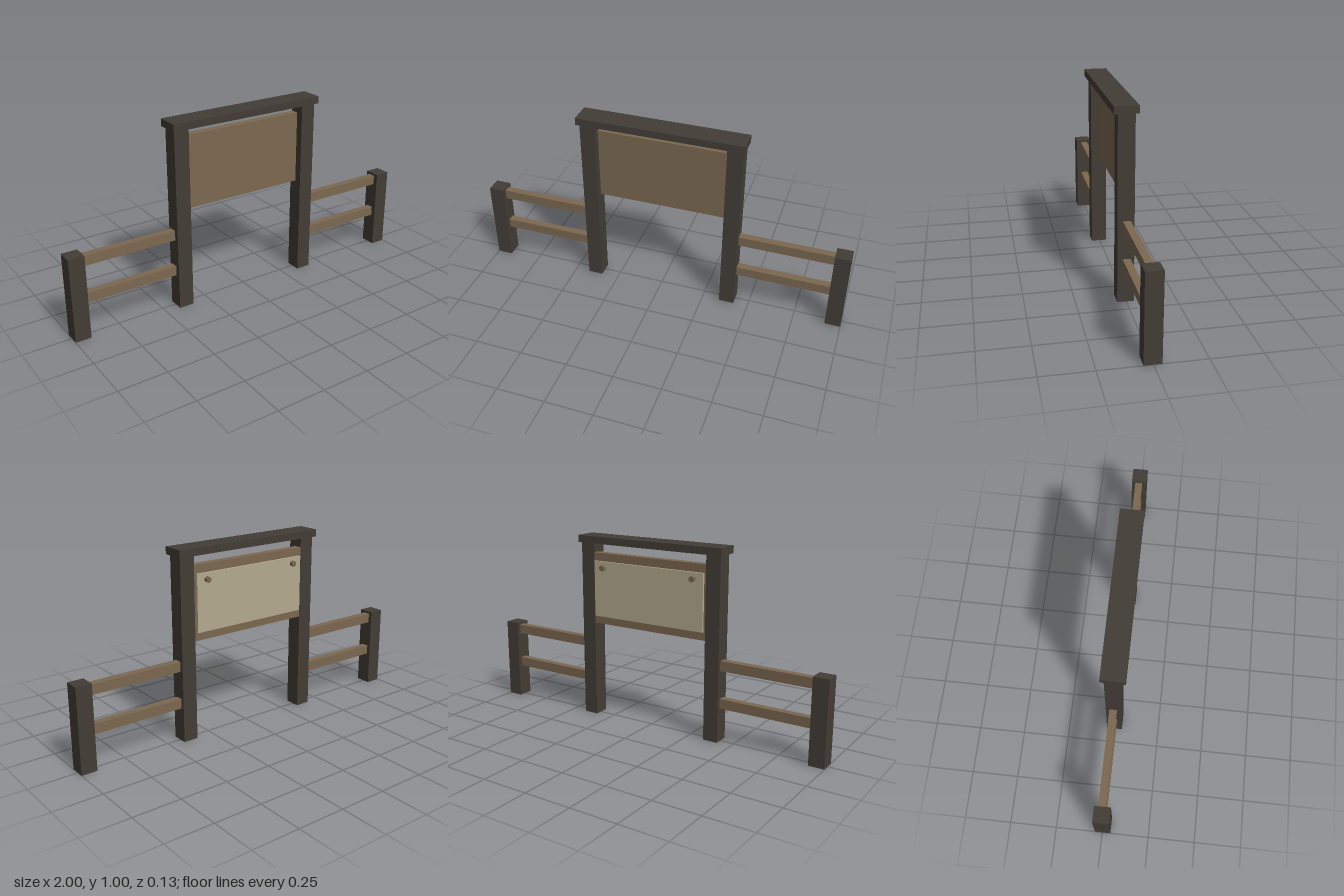
import * as THREE from 'three';

export function createModel() {
  const group = new THREE.Group();
  const material = (name, color) => {
    const m = new THREE.MeshStandardMaterial({ color });
    m.name = name;
    return m;
  };
  const darkWood = material('darkWood', 0x433d36);
  const brownWood = material('brownWood', 0x7b6850);
  const paper = material('paper', 0xb3aa8e);

  // Box given by its lower and upper limits on each axis
  const box = (name, mat, [x0, x1], [y0, y1], [z0, z1]) => {
    const mesh = new THREE.Mesh(new THREE.BoxGeometry(x1 - x0, y1 - y0, z1 - z0), mat);
    mesh.position.set((x0 + x1) / 2, (y0 + y1) / 2, (z0 + z1) / 2);
    mesh.name = name;
    group.add(mesh);
  };

  for (const [side, s] of [['left', 1], ['right', -1]]) {
    const span = (a, b) => (s > 0 ? [a, b] : [-b, -a]);

    // Posts and fence rails
    box(side + 'TallPost', darkWood, span(0.343, 0.423), [0, 0.965], [-0.038, 0.046]);
    box(side + 'EndPost', darkWood, span(0.918, 1), [0, 0.443], [-0.039, 0.045]);
    box(side + 'LowerRail', brownWood, span(0.41, 0.93), [0.18, 0.231], [-0.019, 0.02]);
    box(side + 'UpperRail', brownWood, span(0.41, 0.93), [0.378, 0.43], [-0.019, 0.02]);

    // Six-sided peg holding the notice
    const peg = new THREE.Mesh(new THREE.CylinderGeometry(0.016, 0.016, 0.024, 6), brownWood);
    peg.geometry = peg.geometry.toNonIndexed();
    peg.geometry.computeVertexNormals();
    peg.rotation.x = Math.PI / 2;
    peg.position.set(s * 0.275, 0.834, -0.054);
    peg.name = side + 'Peg';
    group.add(peg);
  }

  // Cap beam, board and the notice on the back
  box('capBeam', darkWood, [-0.436, 0.434], [0.96, 0.998], [-0.055, 0.066]);
  box('board', brownWood, [-0.35, 0.35], [0.525, 0.91], [-0.036, 0.005]);
  box('notice', paper, [-0.333, 0.333], [0.568, 0.867], [-0.048, -0.036]);

  return group;
}
